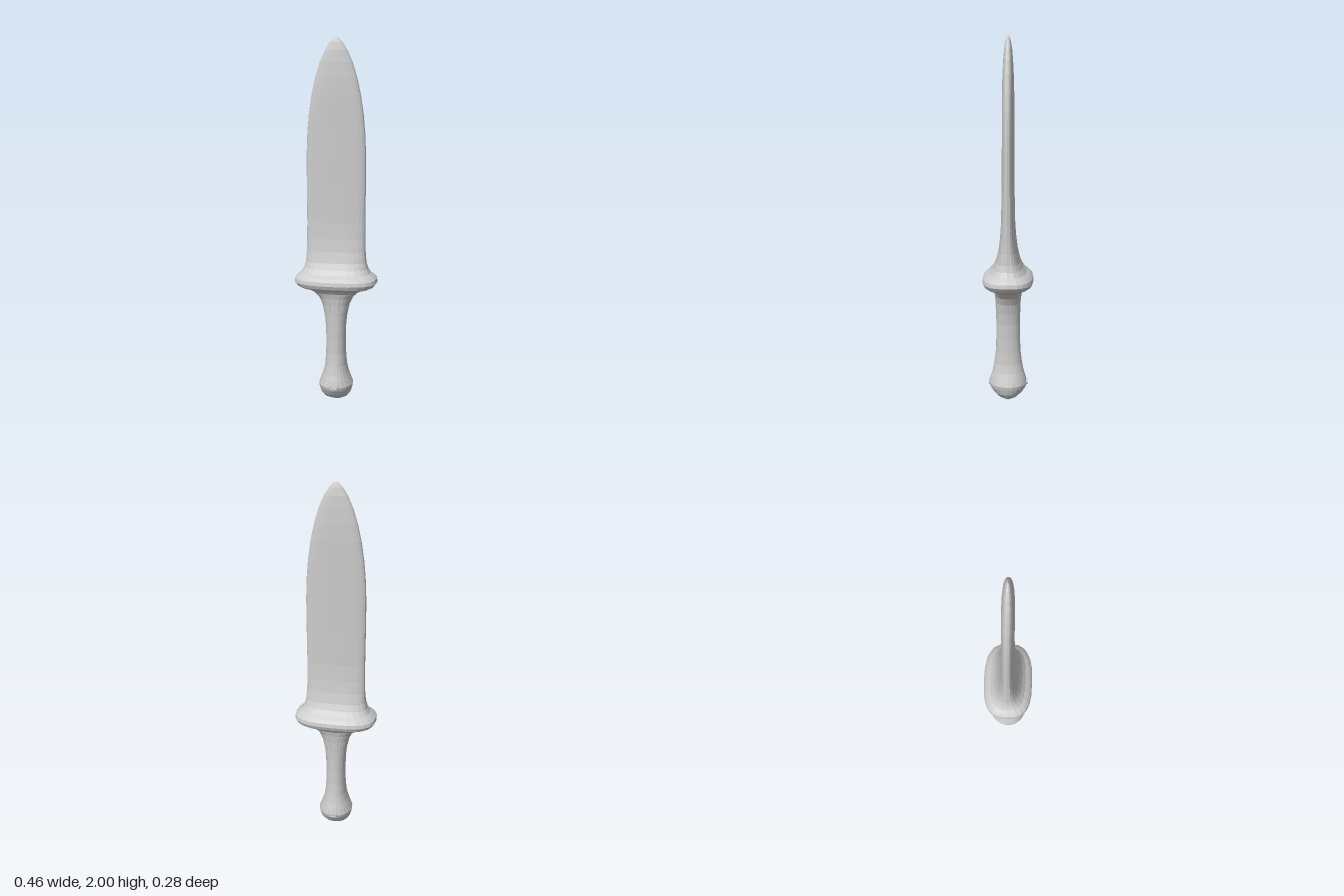
import * as THREE from 'three';

const SIDES = 24;
const material = new THREE.MeshStandardMaterial({ color: 0xcccccc, flatShading: true, side: THREE.DoubleSide });

// Lofts rounded cross-sections, each [y, half width, half depth, squareness]
function loft(name, sections) {
  const positions = [], index = [];
  for (const [y, w, d, n] of sections) {
    for (let i = 0; i < SIDES; i++) {
      const a = (i / SIDES) * Math.PI * 2, c = Math.cos(a), s = Math.sin(a);
      positions.push(
        w * Math.sign(c) * Math.abs(c) ** (2 / n), y,
        d * Math.sign(s) * Math.abs(s) ** (2 / n));
    }
  }
  for (let r = 0; r < sections.length - 1; r++) {
    for (let i = 0; i < SIDES; i++) {
      const j = (i + 1) % SIDES, a = r * SIDES + i, b = r * SIDES + j;
      index.push(a, a + SIDES, b, b, a + SIDES, b + SIDES);
    }
  }
  const geometry = new THREE.BufferGeometry();
  geometry.setAttribute('position', new THREE.Float32BufferAttribute(positions, 3));
  geometry.setIndex(index);
  geometry.computeVertexNormals();
  const mesh = new THREE.Mesh(geometry, material);
  mesh.name = name;
  return mesh;
}

export function createModel() {
  const dagger = new THREE.Group();
  dagger.name = 'dagger';

  // Rounded pommel with a sharp upper rim
  dagger.add(loft('pommel', [
    [0, 0, 0, 2], [0.005, 0.04, 0.025, 2], [0.02, 0.066, 0.054, 2],
    [0.045, 0.084, 0.08, 2], [0.075, 0.093, 0.1, 2], [0.095, 0.096, 0.107, 2]]));

  // Waisted grip flaring sideways into the guard
  dagger.add(loft('grip', [
    [0.095, 0.096, 0.107, 2], [0.13, 0.083, 0.098, 2.1], [0.165, 0.07, 0.087, 2.2],
    [0.21, 0.06, 0.078, 2.2], [0.28, 0.055, 0.069, 2.2], [0.36, 0.054, 0.066, 2.2],
    [0.44, 0.056, 0.066, 2.2], [0.5, 0.063, 0.067, 2.2], [0.56, 0.076, 0.069, 2.2],
    [0.6, 0.095, 0.073, 2.3], [0.63, 0.125, 0.08, 2.4], [0.648, 0.16, 0.093, 2.6]]));

  // Oval guard with a rolled edge
  dagger.add(loft('guard', [
    [0.648, 0.16, 0.093, 2.6], [0.658, 0.192, 0.116, 2.8], [0.67, 0.214, 0.132, 2.8],
    [0.69, 0.228, 0.14, 2.8], [0.71, 0.225, 0.136, 2.8], [0.725, 0.21, 0.122, 2.8],
    [0.74, 0.191, 0.101, 2.8], [0.765, 0.177, 0.082, 2.8]]));

  // Broad blade, flat on both faces, rounding in to the point
  dagger.add(loft('blade', [
    [0.765, 0.177, 0.082, 2.8], [0.8, 0.168, 0.066, 2.8], [0.86, 0.163, 0.052, 2.8],
    [0.93, 0.161, 0.043, 2.8], [1.02, 0.16, 0.037, 2.8], [1.2, 0.161, 0.034, 2.8],
    [1.38, 0.161, 0.033, 2.8], [1.5, 0.156, 0.032, 2.8], [1.6, 0.147, 0.032, 2.8],
    [1.7, 0.132, 0.032, 2.7], [1.79, 0.112, 0.03, 2.6], [1.87, 0.087, 0.026, 2.5],
    [1.93, 0.06, 0.021, 2.4], [1.97, 0.034, 0.014, 2.2], [1.99, 0.014, 0.007, 2], [2, 0, 0, 2]]));

  // Small details repeated on both faces of the handle
  for (const side of [1, -1]) {
    const ring = new THREE.Mesh(new THREE.TorusGeometry(0.022, 0.005, 6, 12), material);
    ring.name = 'pommelRing';
    ring.scale.y = 0.6;
    ring.position.set(0, 0.1, side * 0.104);
    dagger.add(ring);

    for (const x of [1, -1]) {
      const ridge = new THREE.Mesh(new THREE.ConeGeometry(0.008, 0.14, 4), material);
      ridge.name = 'gripRidge';
      ridge.position.set(x * 0.025, 0.57, side * 0.066);
      ridge.rotation.z = Math.PI - x * 0.1;
      dagger.add(ridge);
    }
  }
  return dagger;
}
